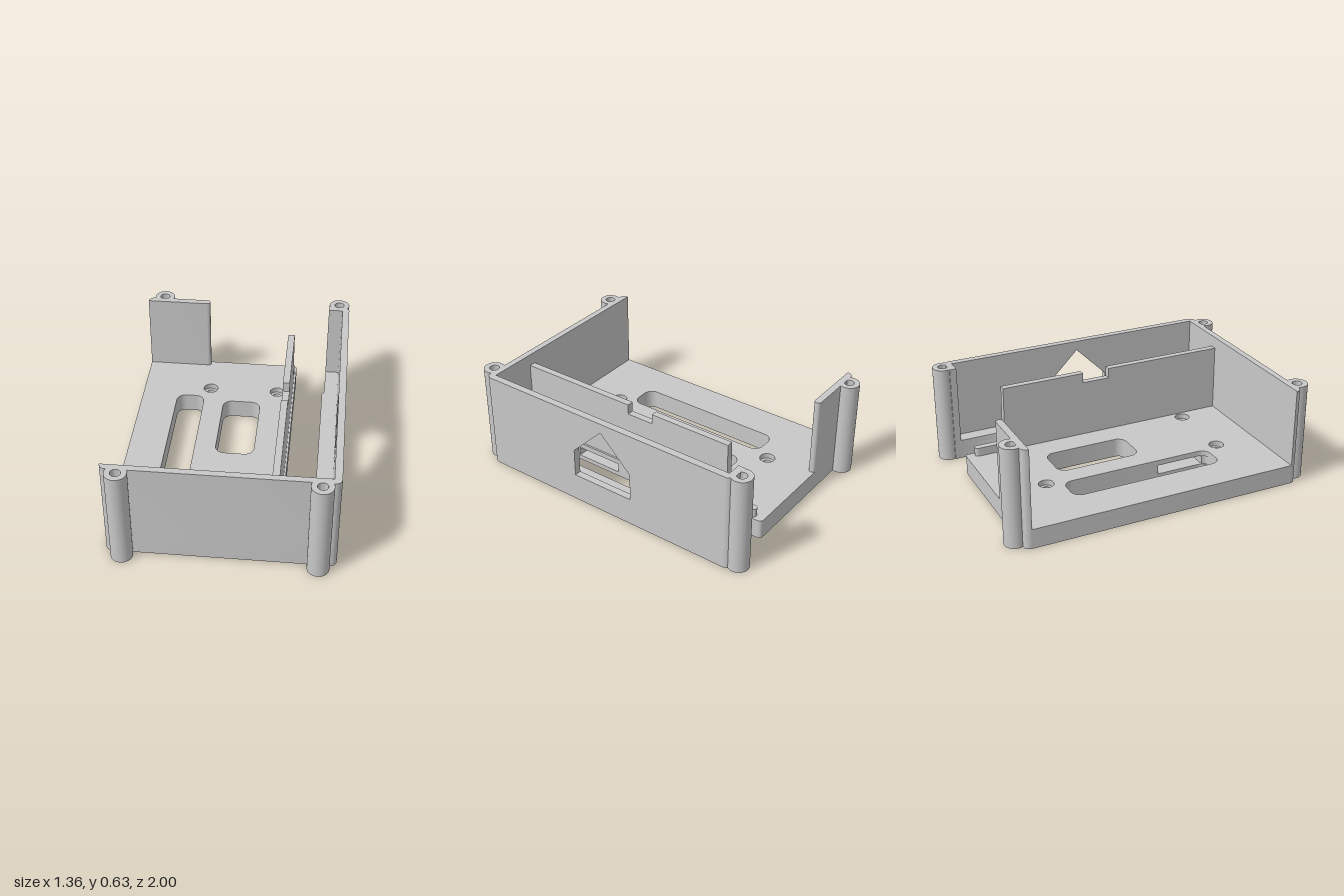
import * as THREE from 'three';
import { toCreasedNormals } from 'three/addons/utils/BufferGeometryUtils.js';

const H = 0.63;      // overall height
const FLOOR = 0.125; // base thickness

// Closed path from [a, b, radius] corners, rounded where a radius is given
function trace(path, pts) {
  const n = pts.length;
  const v = (i) => new THREE.Vector2(pts[(i + n) % n][0], pts[(i + n) % n][1]);
  for (let i = 0; i < n; i++) {
    const p = v(i), r = pts[i][2] || 0;
    const a = v(i - 1).sub(p).normalize(), b = v(i + 1).sub(p).normalize();
    const at = (d, k) => p.clone().addScaledVector(d, k);
    const s = at(a, r), e = at(b, r), c1 = at(a, r * 0.45), c2 = at(b, r * 0.45);
    if (i === 0) path.moveTo(s.x, s.y); else path.lineTo(s.x, s.y);
    if (r) path.bezierCurveTo(c1.x, c1.y, c2.x, c2.y, e.x, e.y);
  }
  path.closePath();
  return path;
}

// Extrudes an outline with holes; the outline is wound counter-clockwise so holes face inwards
function extrude(outline, depth, holes, rounds) {
  const area = THREE.ShapeUtils.area(outline.map(([x, y]) => ({ x, y })));
  const shape = trace(new THREE.Shape(), area < 0 ? outline.slice().reverse() : outline);
  holes.forEach((h) => shape.holes.push(trace(new THREE.Path(), h)));
  rounds.forEach(([x, y, r]) => shape.holes.push(new THREE.Path().absarc(x, y, r, 0, Math.PI * 2, true)));
  return new THREE.ExtrudeGeometry(shape, { depth, bevelEnabled: false, curveSegments: 10 });
}

// Footprint in (x, z), extruded from y0 to y1
function slab(pts, y0, y1, holes = [], rounds = []) {
  const flip = (list) => list.map(([x, z, r]) => [x, -z, r]);
  const g = extrude(flip(pts), y1 - y0, holes.map(flip), flip(rounds));
  return toCreasedNormals(g.rotateX(-Math.PI / 2).translate(0, y0, 0), 0.6);
}

// Side profile in (z, y), extruded from x0 to x1
function panel(pts, x0, x1, holes = []) {
  const flip = (list) => list.map(([z, y, r]) => [-z, y, r]);
  const g = extrude(flip(pts), x1 - x0, holes.map(flip), []);
  return toCreasedNormals(g.rotateY(Math.PI / 2).translate(x0, 0, 0), 0.6);
}

export function createModel() {
  const model = new THREE.Group();
  model.name = 'openCase';
  const grey = new THREE.MeshStandardMaterial({ color: 0xc8c8c8 });
  grey.name = 'grey plastic';
  const add = (name, geometry) => {
    const m = new THREE.Mesh(geometry, grey);
    m.name = name;
    model.add(m);
    return m;
  };

  // Base: three layers, so the middle one can carry the strap tunnel
  const backEdge = [[-0.68, -0.91, 0.04], [0.342, -0.91, 0.025]];
  const slotAndRim = [
    [0.342, 0.79, 0.06], [0.53, 0.79, 0.06], [0.53, -0.6], [0.545, -0.625],
    [0.545, -0.91], [0.68, -0.91, 0.04], [0.68, 0.905, 0.04], [-0.68, 0.905, 0.04],
  ];
  const tunnel = [
    [0.342, 0.15], [-0.26, 0.15], [-0.26, -0.5, 0.06], [-0.443, -0.5, 0.06],
    [-0.443, 0.495, 0.06], [-0.26, 0.495, 0.06], [-0.26, 0.465], [0.342, 0.465],
  ];
  // The tunnel meets the slot just before its rounded end
  tunnel[5] = [-0.26, 0.495, 0.028];
  const plain = [...backEdge, ...slotAndRim];
  const tunnelled = [...backEdge, ...tunnel, ...slotAndRim];
  const longSlot = [[-0.443, -0.5, 0.06], [-0.26, -0.5, 0.06], [-0.26, 0.495, 0.06], [-0.443, 0.495, 0.06]];
  const centreSlot = [[-0.125, -0.46, 0.06], [0.122, -0.46, 0.06], [0.122, 0.09, 0.06], [-0.125, 0.09, 0.06]];
  const screws = (r) => [-0.228, 0.226].flatMap((x) => [-0.593, 0.59].map((z) => [x, z, r]));
  add('baseBottom', slab(plain, 0, 0.03, [longSlot, centreSlot], screws(0.028)));
  add('baseMiddle', slab(tunnelled, 0.03, 0.09, [centreSlot], screws(0.028)));
  add('baseTop', slab(plain, 0.09, FLOOR, [longSlot, centreSlot], screws(0.048)));

  // Outer walls
  add('frontWall', slab(
    [[-0.68, 0.864], [0.68, 0.864], [0.68, 0.905, 0.04], [-0.68, 0.905, 0.04]], FLOOR, H));
  add('backWall', slab(
    [[-0.68, -0.867], [-0.26, -0.867, 0.02], [-0.26, -0.91, 0.02], [-0.68, -0.91, 0.04]], FLOOR, H));
  add('backCorner', slab(
    [[0.545, -0.867], [0.68, -0.867], [0.68, -0.91, 0.04], [0.545, -0.91]], FLOOR, H));
  const house = [[0.21, 0.18], [-0.21, 0.18], [-0.21, 0.36], [0, 0.568], [0.21, 0.36]];
  add('sideWall', panel(
    [[0.864, FLOOR], [0.864, H], [-0.867, H], [-0.867, FLOOR]], 0.635, 0.68, [house]));

  // Inner divider with a notch, and a low tail with a rounded tip
  add('divider', panel([
    [0.864, FLOOR], [0.864, 0.555], [0.07, 0.555], [0.07, 0.49], [-0.11, 0.49], [-0.11, 0.555],
    [-0.655, 0.555], [-0.66, 0.18, 0.06], [-0.8, 0.18], [-0.8, FLOOR],
  ], 0.287, 0.33));
  add('dividerTail', slab(
    [[0.287, -0.8], [0.33, -0.8], [0.33, -0.855, 0.021], [0.287, -0.855, 0.021]], FLOOR, 0.18));

  // Corner posts with blind screw holes
  const profile = [[0, 0], [0.066, 0], [0.066, H], [0.031, H], [0.031, 0.33], [0, 0.33]]
    .map(([r, y]) => new THREE.Vector2(r, y));
  const post = toCreasedNormals(new THREE.LatheGeometry(profile, 40), 0.6);
  const corners = [[-0.576, 0.934], [0.574, 0.934], [-0.576, -0.934], [0.613, -0.934]];
  corners.forEach(([x, z]) => add('cornerPost', post).position.set(x, 0, z));

  return model;
}
